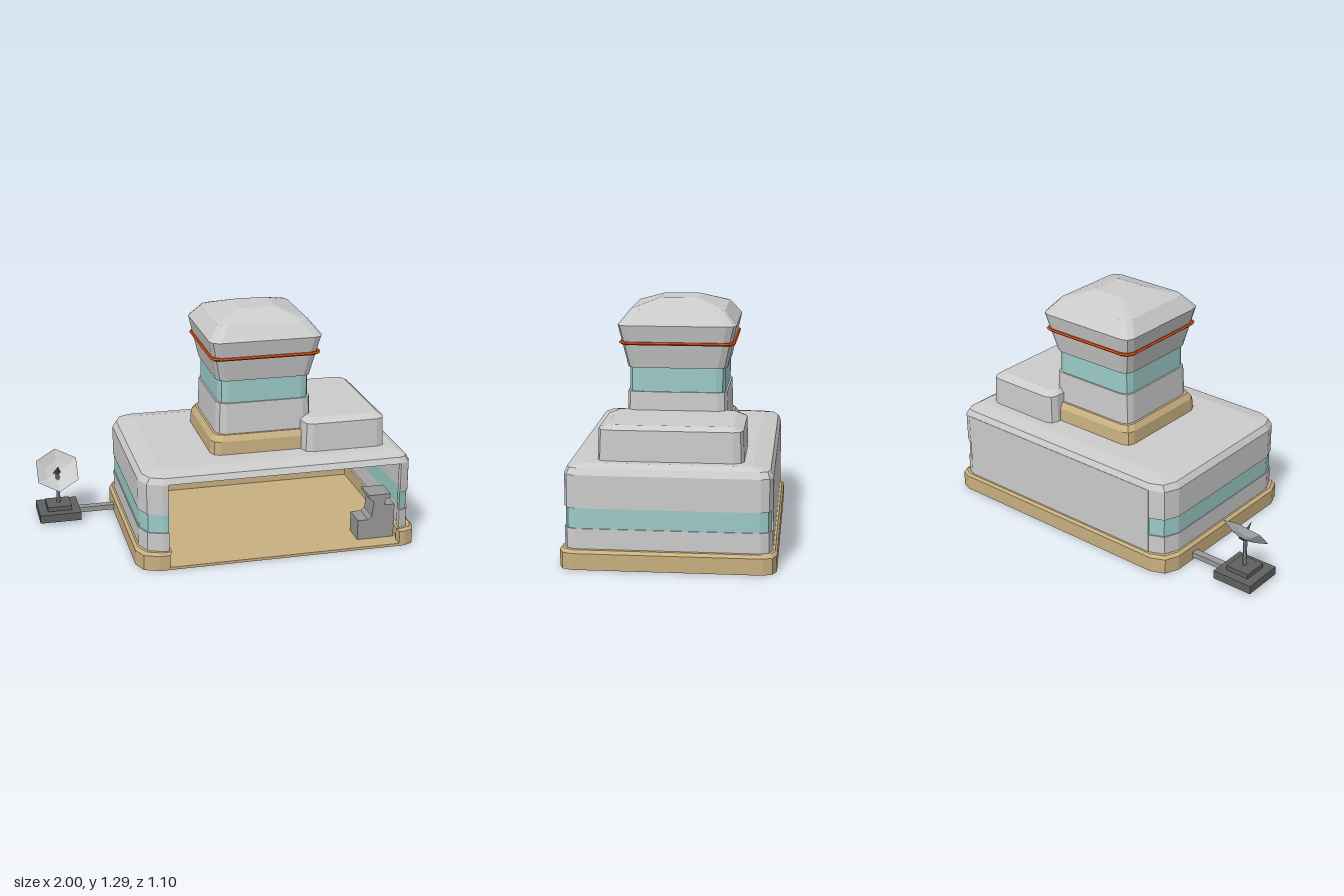
import * as THREE from 'three';

const mat = (color) => new THREE.MeshStandardMaterial({ color, flatShading: true, side: THREE.DoubleSide });
const GREY = mat(0xcccccc), TAN = mat(0xc8b080), GLASS = mat(0x9ccbc8), CYAN = mat(0x10e6e0);
const ORANGE = mat(0xd84a10), DARK = mat(0x606060), BLACK = mat(0x202020), MID = mat(0x999999);

// Rectangle with two-facet corners, counter-clockwise from above; y of each point is -z.
function outline(x0, x1, z0, z1, cutLeft, cutRight = cutLeft) {
  const corners = [
    [x1 - cutRight, -z1 + cutRight, cutRight], [x1 - cutRight, -z0 - cutRight, cutRight],
    [x0 + cutLeft, -z0 - cutLeft, cutLeft], [x0 + cutLeft, -z1 + cutLeft, cutLeft],
  ];
  const pts = [];
  corners.forEach(([cx, cy, r], k) => {
    for (let i = 0; i <= 2; i++) {
      const a = (k - 1 + i / 2) * Math.PI / 2;
      pts.push(new THREE.Vector2(cx + r * Math.cos(a), cy + r * Math.sin(a)));
    }
  });
  return pts;
}

// Closed solid through a stack of outlines: levels of [y, points].
function loft(levels) {
  const pos = [];
  const put = (p, y) => pos.push(p.x, y, -p.y);
  const n = levels[0][1].length;
  for (let l = 0; l < levels.length - 1; l++) {
    const [y0, a] = levels[l], [y1, b] = levels[l + 1];
    for (let i = 0; i < n; i++) {
      const j = (i + 1) % n;
      put(a[i], y0); put(a[j], y0); put(b[j], y1);
      put(a[i], y0); put(b[j], y1); put(b[i], y1);
    }
  }
  const [yb, bottom] = levels[0], [yt, top] = levels[levels.length - 1];
  for (let i = 1; i < n - 1; i++) {
    put(bottom[0], yb); put(bottom[i + 1], yb); put(bottom[i], yb);
    put(top[0], yt); put(top[i], yt); put(top[i + 1], yt);
  }
  const g = new THREE.BufferGeometry();
  g.setAttribute('position', new THREE.Float32BufferAttribute(pos, 3));
  g.computeVertexNormals();
  return g;
}

// Square tower section centred on the tower axis.
const square = (h, cut = 0.05) => outline(0.2 - h, 0.2 + h, -h, h, cut);

// Wall ring open at the front, from y0 to y1; the top may be drawn in by a taper.
function openWall(outer, front, y0, y1, taper = 0) {
  const inner = [
    [-0.39, -front], [-0.39, -0.49], [-0.49, -0.4], [-0.49, 0.47],
    [0.92, 0.47], [0.92, -0.43], [0.9, -0.49], [0.9, -front],
  ].map(([x, y]) => new THREE.Vector2(x, y));
  const g = new THREE.ExtrudeGeometry(new THREE.Shape([...outer, ...inner]), { depth: y1 - y0, bevelEnabled: false });
  g.rotateX(-Math.PI / 2).translate(0, y0, 0);
  const p = g.attributes.position;
  for (let i = 0; i < p.count; i++) {
    if (p.getY(i) < y1 - 1e-4) continue;
    p.setX(i, 0.22 + (p.getX(i) - 0.22) * (1 - taper));
    p.setZ(i, p.getZ(i) * (1 - taper));
  }
  g.computeVertexNormals();
  return g;
}

export function createModel() {
  const model = new THREE.Group();
  const add = (name, geometry, material, parent = model) => {
    const m = new THREE.Mesh(geometry, material);
    m.name = name;
    parent.add(m);
    return m;
  };
  const box = (name, x0, x1, y0, y1, z0, z1, material, parent) => add(name,
    new THREE.BoxGeometry(x1 - x0, y1 - y0, z1 - z0).translate((x0 + x1) / 2, (y0 + y1) / 2, (z0 + z1) / 2),
    material, parent);

  // Floor and the curb around it
  const base = outline(-0.56, 1, -0.548, 0.548, 0.11, 0.07);
  add('floor', loft([[0, base], [0.015, base]]), TAN);
  add('curb', openWall(base, 0.548, 0.015, 0.085), TAN);
  add('curbBevel', openWall(base, 0.548, 0.085, 0.1, 0.02), TAN);

  // Hall walls with a glazed band, plain at the back
  const hall = outline(-0.535, 0.965, -0.525, 0.525, 0.115, 0.06);
  const band = outline(-0.53, 0.96, -0.52, 0.52, 0.115, 0.06);
  add('lowerWall', openWall(hall, 0.525, 0.1, 0.205), GREY);
  add('windowBand', openWall(band, 0.52, 0.205, 0.31), GLASS);
  add('upperWall', openWall(hall, 0.525, 0.31, 0.48), GREY);
  box('backWall', -0.42, 0.905, 0.1, 0.48, -0.527, -0.462, GREY);
  add('roof', loft([
    [0.48, hall],
    [0.513, outline(-0.512, 0.945, -0.51, 0.51, 0.1, 0.05)],
    [0.532, outline(-0.41, 0.91, -0.42, 0.42, 0.03)],
  ]), GREY);

  // Two framed screens on the back wall
  for (const x of [-0.315, 0.215]) {
    box('screenFrame', x, x + 0.505, 0.165, 0.465, -0.463, -0.457, BLACK);
    box('screen', x + 0.008, x + 0.497, 0.173, 0.457, -0.46, -0.453, CYAN);
  }

  // Console beside the entrance
  const profile = new THREE.Shape([
    [0.69, 0.015], [0.9, 0.015], [0.9, 0.21], [0.845, 0.21], [0.845, 0.245], [0.875, 0.25], [0.875, 0.275],
    [0.75, 0.275], [0.75, 0.255], [0.78, 0.235], [0.77, 0.15], [0.75, 0.13], [0.69, 0.13],
  ].map(([x, y]) => new THREE.Vector2(x, y)));
  add('console', new THREE.ExtrudeGeometry(profile, { depth: 0.13, bevelEnabled: false }).translate(0, 0, 0.32), MID);

  // Roof annex
  add('annex', loft([
    [0.525, outline(0.395, 0.865, -0.375, 0.368, 0.05)],
    [0.69, outline(0.4, 0.86, -0.37, 0.362, 0.05)],
    [0.712, outline(0.43, 0.83, -0.32, 0.315, 0.04)],
  ]), GREY);

  // Tower
  const tower = new THREE.Group();
  tower.name = 'tower';
  model.add(tower);
  add('towerBase', loft([[0.525, square(0.305)], [0.605, square(0.3)], [0.637, square(0.28)]]), TAN, tower);
  add('towerShaft', loft([[0.63, square(0.268)], [0.81, square(0.262)]]), GREY, tower);
  add('towerWindows', loft([[0.81, square(0.253)], [0.94, square(0.253)]]), GLASS, tower);
  add('towerHead', loft([
    [0.937, square(0.262)], [1.165, square(0.311)],
    [1.24, square(0.25)], [1.29, square(0.1, 0.015)],
  ]), GREY, tower);
  add('towerTrim', loft([[1.062, square(0.298)], [1.07, square(0.306)], [1.078, square(0.3)]]), ORANGE, tower);

  // Dish antenna on its own plinth, joined by a duct
  const antenna = new THREE.Group();
  antenna.name = 'antenna';
  model.add(antenna);
  box('duct', -0.77, -0.53, 0.015, 0.045, -0.317, -0.275, MID, antenna);
  box('plinth', -1, -0.765, 0.015, 0.062, -0.405, -0.17, DARK, antenna);
  box('plinthStep', -0.95, -0.812, 0.06, 0.088, -0.356, -0.218, DARK, antenna);
  add('post', new THREE.CylinderGeometry(0.011, 0.011, 0.17, 8).translate(-0.88, 0.17, -0.287), MID, antenna);
  const dish = new THREE.Group();
  dish.name = 'dish';
  dish.position.set(-0.88, 0.258, -0.318);
  dish.rotation.x = 0.85;
  antenna.add(dish);
  const bowl = [[0, 0], [0.07, 0.018], [0.133, 0.045]].map(([r, y]) => new THREE.Vector2(r, y));
  add('reflector', new THREE.LatheGeometry(bowl, 6), GREY, dish);
  add('feed', new THREE.ConeGeometry(0.022, 0.11, 4).translate(0, 0.055, 0), DARK, dish);

  return model;
}
